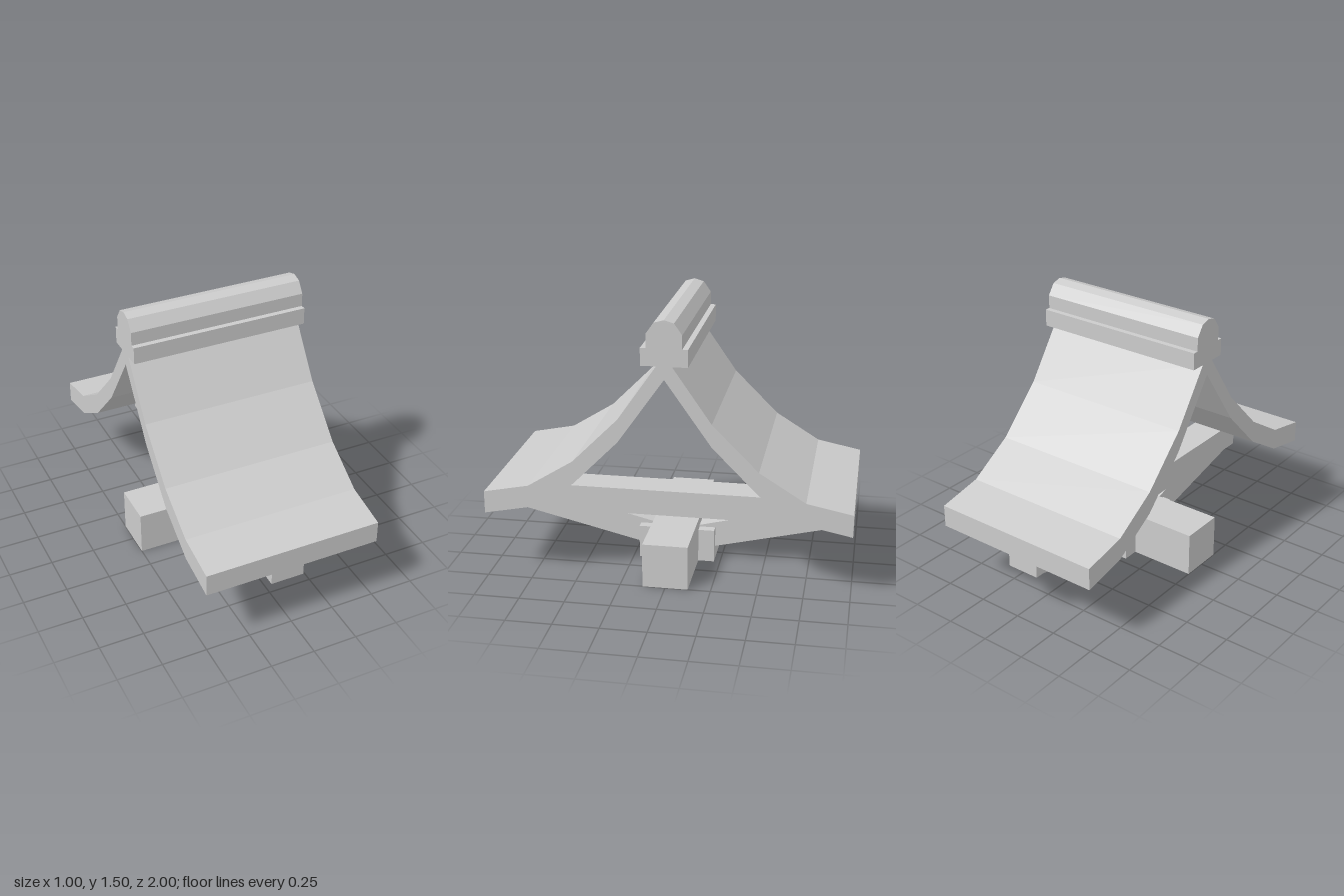
import * as THREE from 'three';

const material = new THREE.MeshStandardMaterial({ color: 0xcccccc, flatShading: true });

// Mesh from a (z, y) outline, extruded along x and centred on x = 0
function profile(name, points, width) {
  const shape = new THREE.Shape(points.map(([z, y]) => new THREE.Vector2(z, y)));
  const geometry = new THREE.ExtrudeGeometry(shape, { depth: width, bevelEnabled: false });
  geometry.translate(0, 0, -width / 2).rotateY(-Math.PI / 2);
  const mesh = new THREE.Mesh(geometry, material);
  mesh.name = name;
  return mesh;
}

// Box centred on x and z, spanning y0 to y1
function block(name, width, y0, y1, depth) {
  const mesh = new THREE.Mesh(new THREE.BoxGeometry(width, y1 - y0, depth), material);
  mesh.name = name;
  mesh.position.y = (y0 + y1) / 2;
  return mesh;
}

const mirror = (points) => points.map(([z, y]) => [-z, y]).reverse();

export function createModel() {
  const group = new THREE.Group();
  group.name = 'roofSection';

  // Sweeping roof: top surface down one side, underside across, up the other
  const upper = [[0.042, 1.255], [0.25, 0.955], [0.5, 0.705], [0.75, 0.55], [1, 0.5]];
  const lower = [[1, 0.375], [0.75, 0.425], [0.5, 0.577], [0.25, 0.83]];
  group.add(profile('roof', [...upper, ...lower, [0, 1.185], ...mirror(lower), ...mirror(upper)], 1));

  // Stepped ridge cap with a rounded top
  const cap = [[0.125, 1.255], [0.125, 1.35], [0.095, 1.35], [0.095, 1.425], [0.053, 1.485]];
  group.add(profile('ridgeCap', [...cap, [0, 1.5], ...mirror(cap)], 1));

  // Cross beam under the eaves
  group.add(block('crossBeam', 0.19, 0.25, 0.4, 1.88));

  // Main beam along the ridge direction and the bracket block crossing it
  group.add(block('mainBeam', 1, 0, 0.25, 0.25));
  group.add(block('bracketBlock', 0.25, 0, 0.19, 0.43));

  // Sloping braces, front and back
  const brace = [[0.12, 0.052], [0.92, 0.243], [0.92, 0.25], [0.33, 0.25], [0.12, 0.198]];
  group.add(profile('frontBrace', brace, 0.15), profile('backBrace', mirror(brace), 0.15));

  return group;
}
